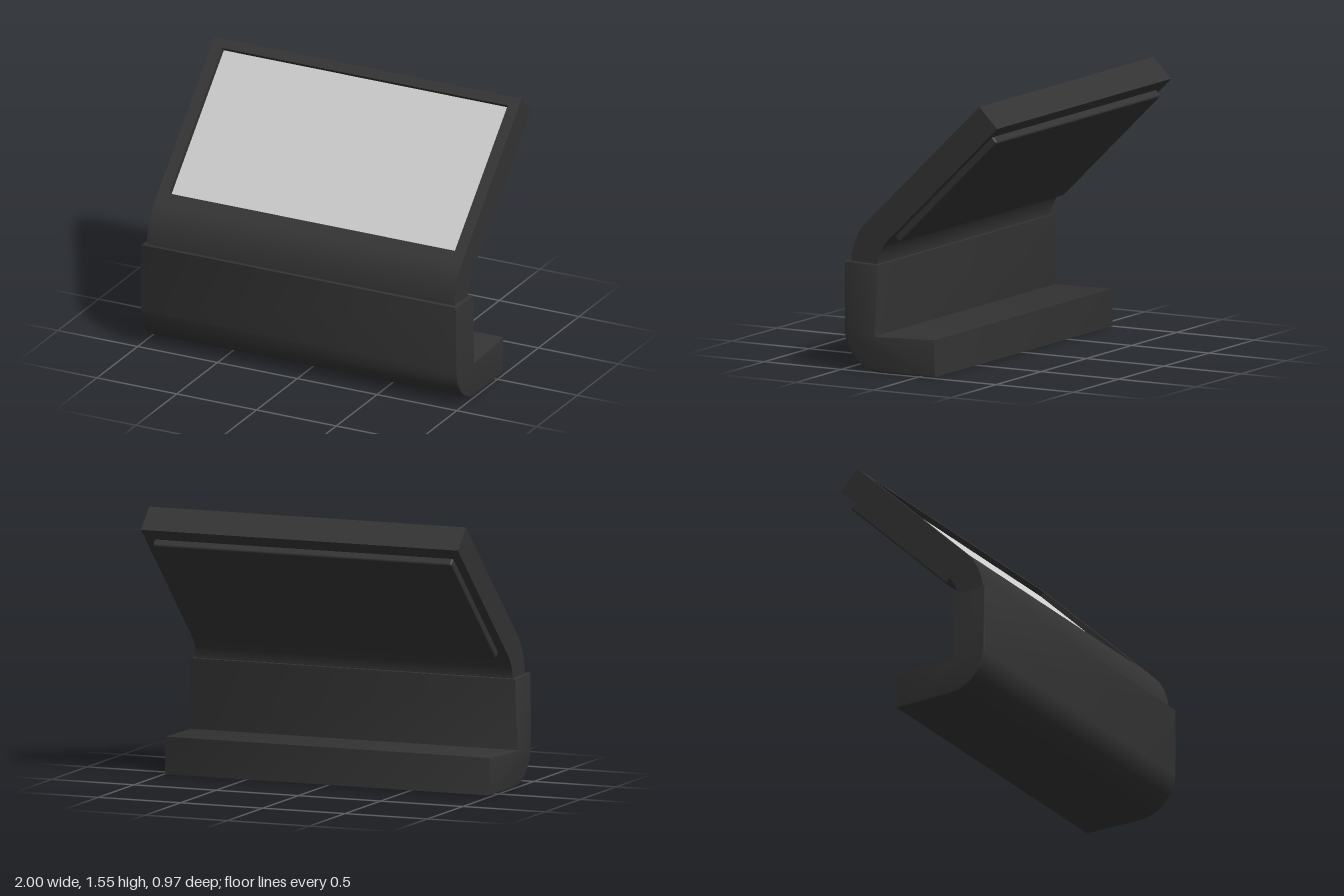
import * as THREE from 'three';
import { toCreasedNormals } from 'three/addons/utils/BufferGeometryUtils.js';
import { RoundedBoxGeometry } from 'three/addons/geometries/RoundedBoxGeometry.js';

const dark = new THREE.MeshStandardMaterial({ color: 0x333333 });
const grey = new THREE.MeshStandardMaterial({ color: 0xcccccc });

// Side profile from [z, y] points; a four-number entry is a curve [controlZ, controlY, z, y]
function profile(points) {
  const shape = new THREE.Shape();
  points.forEach((p, i) => {
    if (i === 0) shape.moveTo(-p[0], p[1]);
    else if (p.length === 4) shape.quadraticCurveTo(-p[0], p[1], -p[2], p[3]);
    else shape.lineTo(-p[0], p[1]);
  });
  return shape;
}

// Sweep a side profile along x, from x0 to x1
function sweep(shape, x0, x1, bevel = 0) {
  const geo = new THREE.ExtrudeGeometry(shape, {
    depth: x1 - x0 - 2 * bevel, curveSegments: 16,
    bevelEnabled: bevel > 0, bevelSize: bevel, bevelThickness: bevel,
    bevelOffset: -bevel, bevelSegments: 2,
  });
  geo.translate(0, 0, x0 + bevel);
  geo.rotateY(Math.PI / 2);
  return geo;
}

function add(group, name, geo, material) {
  const mesh = new THREE.Mesh(geo, material);
  mesh.name = name;
  group.add(mesh);
  return mesh;
}

// Point on the sloped panel: s down from the top front edge, d below the front face
const U = [0.714, -0.70], N = [0.70, 0.714];
const onPanel = (s, d) => [-0.37 + s * U[0] - d * N[0], 1.555 + s * U[1] - d * N[1]];

export function createModel() {
  const model = new THREE.Group();
  model.name = 'displayStand';

  // L-shaped base with a rounded front heel
  const baseShape = new THREE.Shape();
  baseShape.moveTo(-0.488, 0.615);
  baseShape.lineTo(-0.485, 0.22);
  baseShape.bezierCurveTo(-0.48, 0.1, -0.38, 0.002, -0.25, 0);
  baseShape.lineTo(0.096, 0.004);
  baseShape.lineTo(0.096, 0.216);
  baseShape.lineTo(-0.282, 0.207);
  baseShape.lineTo(-0.268, 0.608);
  baseShape.closePath();
  const base = sweep(baseShape, -1, 1, 0.008);
  // End faces lean in slightly away from the inner corner
  const pos = base.attributes.position;
  for (let i = 0; i < pos.count; i++) {
    const away = Math.hypot(pos.getY(i) - 0.21, pos.getZ(i) - 0.28);
    pos.setX(i, pos.getX(i) * (1 - Math.min(0.012, 0.04 * away)));
  }
  add(model, 'base', toCreasedNormals(base, 0.6), dark);

  // Neck and sloped panel: a recessed middle between two full-depth side rims
  const top = 0.056, bottom = 0.964, depth = 0.03, halfScreen = 0.895, halfPanel = 0.963;
  const neck = [[0.29, 0.55], [0.46, 0.55], [0.46, 0.61], [0.445, 0.757, 0.36, 0.84]];
  const back = [onPanel(0, 0), [-0.485, 1.44], [0.22, 0.749], [0.28, 0.69, 0.29, 0.61]];
  const recess = [
    onPanel(bottom, 0), onPanel(bottom, depth + 0.005),
    onPanel(top, depth + 0.005), onPanel(top, 0),
  ];
  const rim = profile([...neck, ...back]);
  const middle = profile([...neck, ...recess, ...back]);
  const creased = (shape, a, b) => toCreasedNormals(sweep(shape, a, b), 0.5);
  add(model, 'panelMiddle', creased(middle, -halfScreen, halfScreen), dark);
  add(model, 'leftPanelRim', creased(rim, halfScreen, halfPanel), dark);
  add(model, 'rightPanelRim', creased(rim, -halfPanel, -halfScreen), dark);

  // Screen lying in the recess
  const tilt = -Math.atan2(U[0], -U[1]);
  const screen = add(model, 'screen',
    new THREE.BoxGeometry(2 * halfScreen, bottom - top, 0.01), grey);
  const [sz, sy] = onPanel((top + bottom) / 2, depth + 0.005);
  screen.position.set(0, sy, sz);
  screen.rotation.x = tilt;

  // Raised cover plate on the back of the panel
  const cover = add(model, 'backCover', new RoundedBoxGeometry(1.82, 0.887, 0.08, 2, 0.012), dark);
  cover.position.set(0, 1.04 + 0.04 * N[1], -0.1375 + 0.04 * N[0]);
  cover.rotation.x = tilt;

  return model;
}
